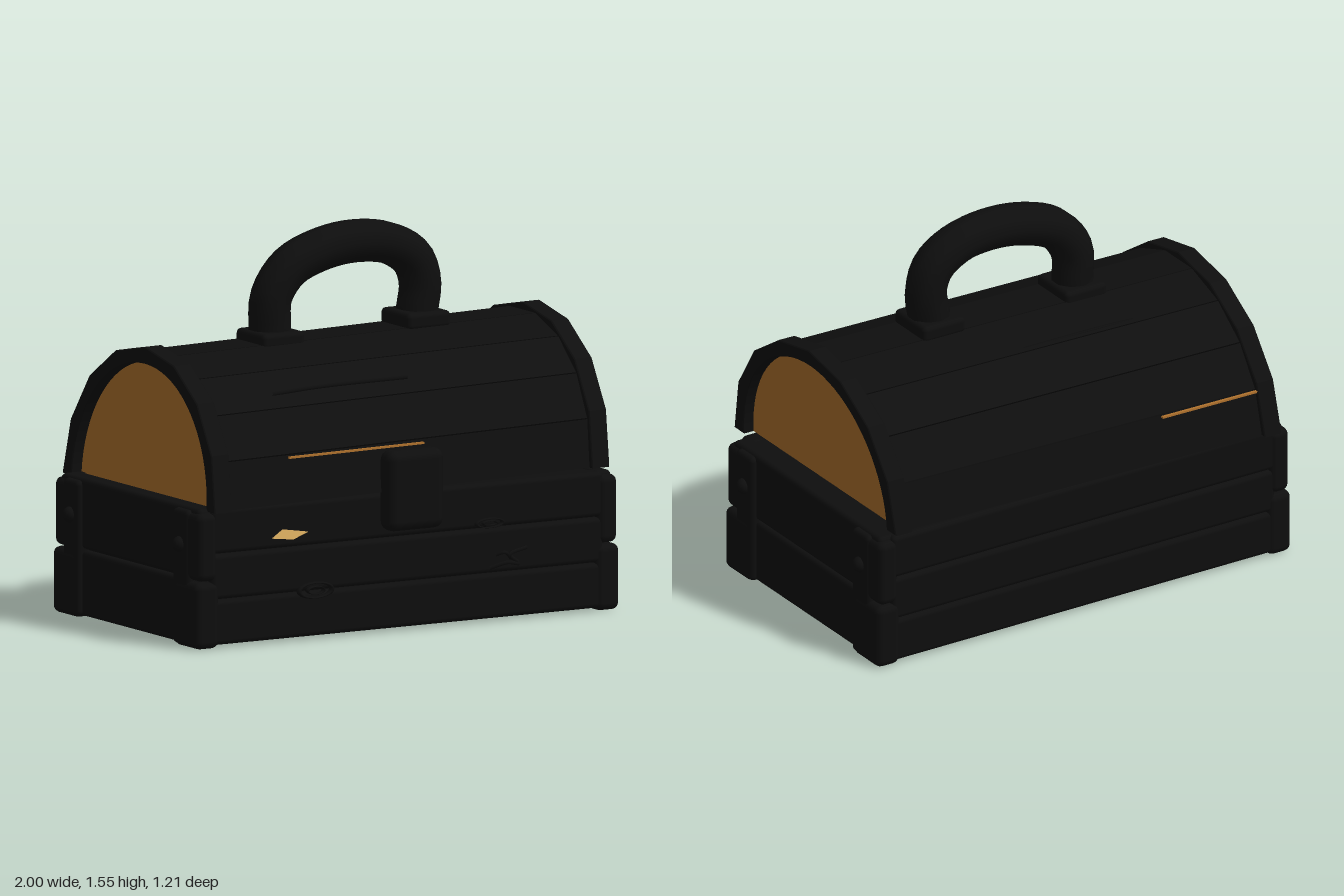
import * as THREE from 'three';
import { RoundedBoxGeometry } from 'three/addons/geometries/RoundedBoxGeometry.js';

const CZ = -0.027, LID_Y = 0.565;
const dark = new THREE.MeshStandardMaterial({ color: 0x0e0e0e });
const darkFlat = new THREE.MeshStandardMaterial({ color: 0x0e0e0e, flatShading: true });
const orange = new THREE.MeshStandardMaterial({ color: 0xb0722d });
const yellow = new THREE.MeshStandardMaterial({ color: 0xe8b866, side: THREE.DoubleSide });

export function createModel() {
  const root = new THREE.Group();
  root.name = 'chest';
  const add = (name, geo, mat = dark, parent = root) => {
    const m = new THREE.Mesh(geo, mat);
    m.name = name;
    parent.add(m);
    return m;
  };
  // Rounded block given by its extents
  const block = (name, x0, x1, y0, y1, z0, z1, r = 0.02) => {
    const m = add(name, new RoundedBoxGeometry(x1 - x0, y1 - y0, z1 - z0, 2, r));
    m.position.set((x0 + x1) / 2, (y0 + y1) / 2, (z0 + z1) / 2);
    return m;
  };

  // Base: inner box, three long planks front and back, two on each end
  block('baseCore', -0.92, 0.92, 0.015, 0.555, CZ - 0.52, CZ + 0.52, 0.01);
  for (let i = 0; i < 3; i++) {
    const y = 0.015 + i * 0.182;
    block('frontPlank', -0.9, 0.9, y, y + 0.18, 0.44, 0.523);
    block('backPlank', -0.9, 0.9, y, y + 0.18, -0.577, -0.5);
  }
  for (const s of [-1, 1]) {
    for (const [y0, y1] of [[0.01, 0.272], [0.278, 0.56]]) {
      const x = s * 0.91;
      block('endPlank', x - 0.04, x + 0.04, y0, y1, CZ - 0.53, CZ + 0.53);
    }
    // Corner brackets in two pieces, side straps and rivets
    for (const t of [-1, 1]) {
      const z = CZ + t * 0.462, x = s * 0.92;
      block('cornerLower', x - 0.055, x + 0.055, 0.003, 0.268, z - 0.095, z + 0.095, 0.03);
      block('cornerUpper', x - 0.045, x + 0.045, 0.272, 0.545, z - 0.095, z + 0.095, 0.03);
      const sz = CZ + t * 0.418;
      block('cornerStrap', x - 0.052, x + 0.052, 0.01, 0.55, sz - 0.06, sz + 0.06, 0.02);
      const rivet = add('rivet', new THREE.SphereGeometry(0.033, 12, 8));
      rivet.position.set(s * 0.968, 0.41, sz);
    }
  }

  // Lid: the whole arch leans slightly to one side
  const lid = new THREE.Group();
  lid.name = 'lid';
  root.add(lid);
  const lean = new THREE.Matrix4().set(
    1, 0.05, 0, 0,
    0.019, 1, 0, LID_Y,
    0, 0, 1, CZ,
    0, 0, 0, 1);
  // Extrude a cross-section along x, centred at cx
  const lidPart = (name, shape, length, cx, mat, bevel = 0) => {
    const geo = new THREE.ExtrudeGeometry(shape, {
      depth: length - 2 * bevel, curveSegments: 32, bevelEnabled: bevel > 0,
      bevelThickness: bevel, bevelSize: bevel, bevelOffset: -bevel, bevelSegments: 1,
    });
    geo.translate(0, 0, bevel - length / 2).rotateY(Math.PI / 2).translate(cx, 0, 0).applyMatrix4(lean);
    return add(name, geo, mat, lid);
  };
  const arc = (r, a0, a1, n) => Array.from({ length: n + 1 }, (_, i) => {
    const a = a0 + (a1 - a0) * i / n;
    return new THREE.Vector2(r * Math.cos(a), r * Math.sin(a));
  });
  lidPart('endPanels', new THREE.Shape(arc(0.518, 0, Math.PI, 36)), 1.72, 0, orange);
  for (let i = 0; i < 9; i++) {
    const a0 = i * Math.PI / 9 + 0.004, a1 = (i + 1) * Math.PI / 9 - 0.004;
    lidPart('lidPlank', new THREE.Shape([...arc(0.5, a0, a1, 1), ...arc(0.56, a1, a0, 1)].reverse()),
      1.7, 0, darkFlat, 0.008);
  }
  for (const s of [-1, 1]) {
    const band = new THREE.Shape([...arc(0.582, 0, Math.PI, 8), ...arc(0.515, Math.PI, 0, 36)]);
    lidPart('lidBand', band, 0.08, s * 0.868, darkFlat, 0.004);
  }

  // Handle on two foot plates
  const path = [[-0.305, 1.15], [-0.3, 1.28], [-0.22, 1.39], [-0.08, 1.45], [0.08, 1.472],
    [0.24, 1.45], [0.35, 1.38], [0.385, 1.28], [0.37, 1.17]].map(([x, y]) => new THREE.Vector3(x, y, -0.025));
  add('handle', new THREE.TubeGeometry(new THREE.CatmullRomCurve3(path), 32, 0.086, 10));
  block('handleFoot', -0.4, -0.205, 1.09, 1.152, -0.135, 0.085);
  block('handleFoot', 0.265, 0.465, 1.11, 1.178, -0.135, 0.085);

  // Lock plate
  block('lock', -0.13, 0.13, 0.41, 0.732, 0.5, 0.602, 0.04);

  // Splits between planks showing the inner wood
  const split = (x, z, len, tilt) => {
    const m = add('split', new THREE.BoxGeometry(len, 0.008, 0.012), orange);
    m.position.set(x, 0.738, z);
    m.rotation.z = tilt;
  };
  split(-0.23, 0.508, 0.62, 0.012);
  split(-0.6, -0.562, 0.45, 0.012);

  // Pale chip on the front
  const chip = new THREE.Shape([[-0.63, 0.422], [-0.53, 0.41], [-0.46, 0.436], [-0.58, 0.455]]
    .map(([x, y]) => new THREE.Vector2(x, y)));
  add('chip', new THREE.ShapeGeometry(chip), yellow).position.z = 0.528;

  // Knots and scratches in the wood
  for (const [x, y, w, h] of [[-0.43, 0.2, 0.075, 0.03], [0.37, 0.4, 0.06, 0.018]]) {
    const knot = new THREE.Group();
    knot.name = 'knot';
    knot.position.set(x, y, 0.53);
    root.add(knot);
    for (const k of [1, 0.5]) {
      add('knotRing', new THREE.TorusGeometry(1, 0.14, 6, 20), dark, knot).scale.set(w * k, h * k, 0.1);
    }
  }
  const scratch = (pts, r) => add('scratch', new THREE.TubeGeometry(
    new THREE.CatmullRomCurve3(pts.map(p => new THREE.Vector3(...p))), 20, r, 5));
  scratch([[0.37, 0.22, 0.53], [0.44, 0.24, 0.55], [0.5, 0.23, 0.54], [0.45, 0.27, 0.55], [0.54, 0.29, 0.53]], 0.008);
  scratch([[0.4, 0.27, 0.53], [0.43, 0.28, 0.55], [0.47, 0.25, 0.53]], 0.007);
  for (const [y, z] of [[0.972, 0.348], [1.045, -0.285]]) {
    scratch([[-0.52, y - 0.008, z], [-0.3, y + 0.004, z], [0.1, y + 0.008, z]], 0.008);
  }
  return root;
}
